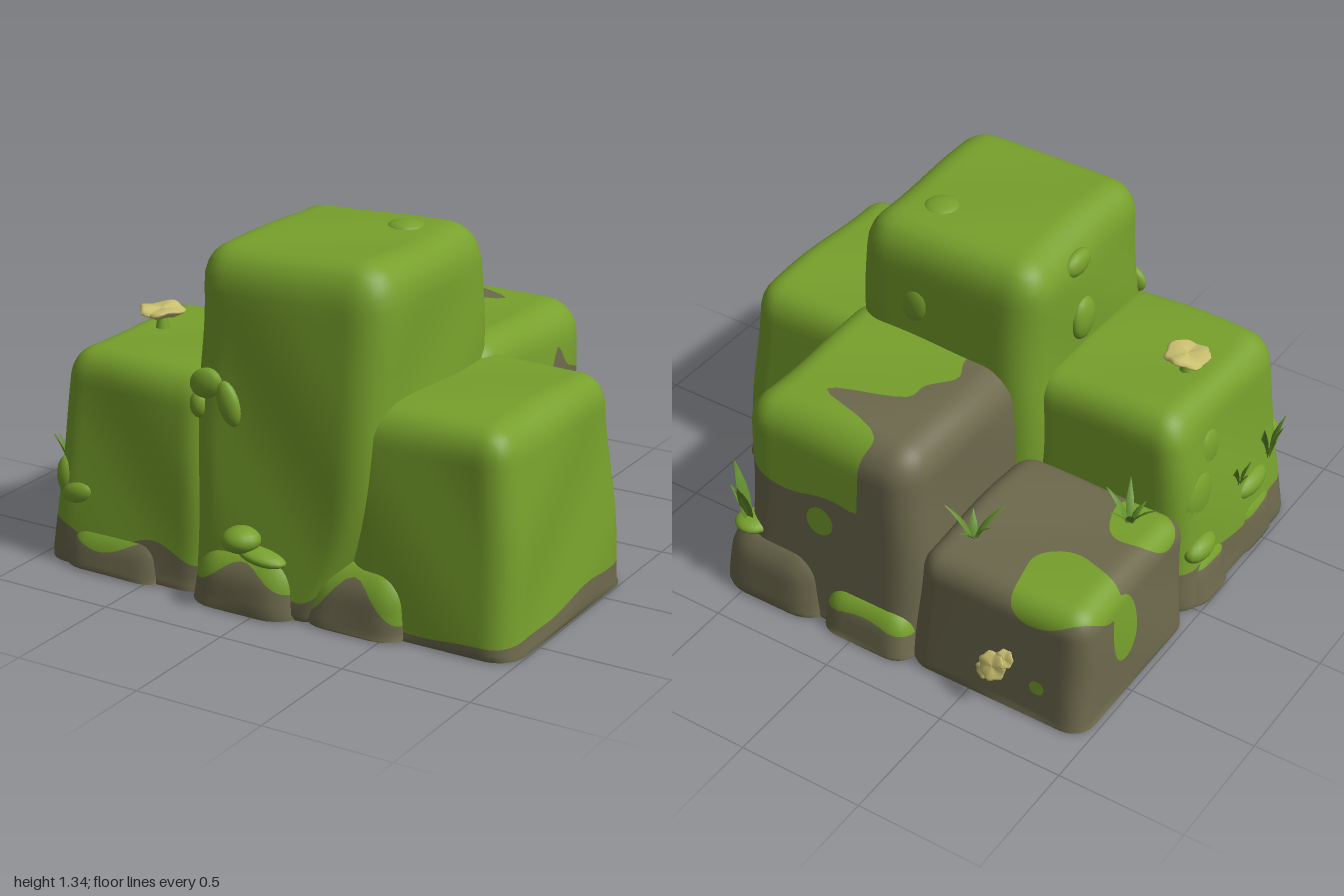
import * as THREE from 'three';
import { mergeVertices } from 'three/addons/utils/BufferGeometryUtils.js';

const { sin, cos, PI, hypot, max, min, exp } = Math;
const material = (name, color, side = THREE.FrontSide) => {
  const m = new THREE.MeshStandardMaterial({ color, side });
  m.name = name;
  return m;
};

const bump = (v, centre, width) => exp(-(((v - centre) / width) ** 2));

// Soft-edged elliptical patch: positive inside, negative outside
const patch = (p, x, y, z, rx, ry, rz) =>
  1 - hypot((p.x - x) / rx, (p.y - y) / ry, (p.z - z) / rz) + 0.12 * sin(p.x * 13 + p.z * 17 + p.y * 11);

// Moss covering everything above a wavy line
const above = (h, wave) => p => p.y - h - wave * (cos((p.x + 0.05) * 14.6) + 0.4 * sin(p.z * 13));

// Rounded, tapered boulder. x, z are the base ranges; taper gives the top inset on each side.
function boulderGeometry([x0, x1], [z0, z1], height, radius, [inL, inR, inB, inF], segs, undercut) {
  const w = x1 - x0, d = z1 - z0, h = height + radius;
  let g = new THREE.BoxGeometry(w, h, d, segs, segs, segs);
  g.deleteAttribute('uv');
  g.deleteAttribute('normal');
  g = mergeVertices(g, 1e-4);
  const pos = g.attributes.position, p = new THREE.Vector3(), q = new THREE.Vector3();
  const half = [w / 2 - radius, h / 2 - radius, d / 2 - radius];
  for (let i = 0; i < pos.count; i++) {
    p.fromBufferAttribute(pos, i);
    q.set(max(-half[0], min(half[0], p.x)), max(-half[1], min(half[1], p.y)), max(-half[2], min(half[2], p.z)));
    p.sub(q).setLength(radius).add(q);
    // base sits flat on the ground
    const y = max(0, p.y + h / 2 - radius), t = y / height;
    const u = p.x / w + 0.5, v = p.z / d + 0.5;
    let x = x0 + inL * t + u * (w - (inL + inR) * t);
    let z = z0 + inB * t + v * (d - (inB + inF) * t);
    // left flank pulled in towards the ground
    x -= undercut * u * u * max(0, 1 - y / 0.8) ** 2;
    // gentle weathering
    const k = y > 0 ? 0.006 : 0;
    x += k * sin(y * 9 + z * 7);
    z += k * sin(x * 8 + y * 6 + 1);
    pos.setXYZ(i, x, y + k * sin(x * 7 + z * 9), z);
  }
  g.computeVertexNormals();
  return g;
}

// Cut a smooth surface along field = 0: group 0 is the negative side, group 1 the positive side
function splitByField(g, field) {
  const P = g.attributes.position, N = g.attributes.normal, idx = g.index;
  const verts = Array.from({ length: P.count }, (_, i) => {
    const p = new THREE.Vector3().fromBufferAttribute(P, i);
    return { p, n: new THREE.Vector3().fromBufferAttribute(N, i), f: field(p) };
  });
  const out = new THREE.BufferGeometry(), position = [], normal = [];
  [-1, 1].forEach((sign, group) => {
    const start = position.length / 3;
    for (let i = 0; i < idx.count; i += 3) {
      const tri = [0, 1, 2].map(k => verts[idx.getX(i + k)]), poly = [];
      tri.forEach((a, k) => {
        const b = tri[(k + 1) % 3];
        if (a.f * sign >= 0) poly.push(a);
        if (a.f * b.f < 0) {
          const t = a.f / (a.f - b.f);
          poly.push({ p: a.p.clone().lerp(b.p, t), n: a.n.clone().lerp(b.n, t).normalize() });
        }
      });
      for (let k = 1; k + 1 < poly.length; k++)
        for (const v of [poly[0], poly[k], poly[k + 1]]) {
          position.push(...v.p);
          normal.push(...v.n);
        }
    }
    out.addGroup(start, position.length / 3 - start, group);
  });
  out.setAttribute('position', new THREE.Float32BufferAttribute(position, 3));
  out.setAttribute('normal', new THREE.Float32BufferAttribute(normal, 3));
  return out;
}

// Folded, pointed grass blade leaning towards +x
function bladeGeometry(len, lean, width) {
  const pos = [], index = [], n = 5;
  for (let i = 0; i <= n; i++) {
    const t = i / n, w = width * sin(PI * (0.2 + 0.8 * t)) + 0.001;
    const x = len * lean * t * (0.5 + 0.5 * t) + 0.005, y = len * t * (1 - 0.2 * lean * t);
    pos.push(x, y, -w, x - 0.006, y, 0, x, y, w);
    if (i < n) for (const k of [0, 1]) {
      const a = i * 3 + k;
      index.push(a, a + 1, a + 3, a + 1, a + 4, a + 3);
    }
  }
  const g = new THREE.BufferGeometry();
  g.setAttribute('position', new THREE.Float32BufferAttribute(pos, 3));
  g.setIndex(index);
  g.computeVertexNormals();
  return g;
}

// Wavy mushroom cap
function capGeometry(r) {
  const profile = [[0.001, -0.1], [0.5, -0.02], [0.95, 0.22], [1, 0.32], [0.85, 0.42], [0.4, 0.4], [0.001, 0.38]];
  const g = new THREE.LatheGeometry(profile.map(([x, y]) => new THREE.Vector2(x * r, y * r)), 28);
  const pos = g.attributes.position;
  for (let i = 0; i < pos.count; i++) {
    const x = pos.getX(i), z = pos.getZ(i), a = Math.atan2(z, x), e = hypot(x, z) / r;
    const s = 1 + 0.06 * e * sin(7 * a);
    pos.setXYZ(i, x * s, pos.getY(i) + 0.1 * r * e * sin(3 * a), z * s);
  }
  g.computeVertexNormals();
  return g;
}

export function createModel() {
  const root = new THREE.Group();
  root.name = 'mossyRocks';
  const stone = material('stone', 0x6d694d);
  const moss = material('moss', 0x77a02c);
  const grass = material('grass', 0x618d2b, THREE.DoubleSide);
  const fungus = material('mushroom', 0xccc271);

  const add = (name, geometry, mat, parent = root) => {
    const m = new THREE.Mesh(geometry, mat);
    m.name = name;
    parent.add(m);
    return m;
  };
  const boulder = (name, x, z, h, r, taper, field, segs = 28, undercut = 0) =>
    add(name, splitByField(boulderGeometry(x, z, h, r, taper, segs, undercut), field), [stone, moss]);

  // Main boulders
  boulder('frontRightBoulder', [-0.98, -0.24], [-0.07, 0.75], 0.83, 0.11, [0.1, 0, 0.03, 0.05], above(0.13, 0.035));
  boulder('tallBoulder', [-0.34, 0.49], [-0.15, 0.76], 1.31, 0.14, [0.03, 0.03, 0.03, 0.07], above(0.14, 0.06), 28, 0.25);
  boulder('frontLeftBoulder', [0.3, 1.0], [-0.21, 0.71], 0.82, 0.11, [0, 0.06, 0.06, 0.04],
    p => p.y - 0.1 + 0.06 * max(0, p.z - 0.1) / 0.6 - 0.008 * sin(p.z * 14 + p.x * 12));
  boulder('backBoulder', [-0.27, 0.55], [-0.81, 0.05], 0.87, 0.13, [0.04, 0.03, 0.05, 0], p => max(
    min(p.y - 0.62 - 0.09 * bump(p.z, -0.53, 0.04) + 0.07 * bump(p.z, -0.78, 0.12) - 0.02 * sin(p.x * 14),
      p.x + 0.02 - 0.28 * bump(p.z, -0.56, 0.08) + 0.05 * bump(p.z, -0.2, 0.12) - 0.02 * sin(p.z * 30)),
    0.1 * patch(p, 0.54, 0.32, -0.25, 0.1, 0.035, 0.08),
    0.1 * patch(p, 0.16, 0.45, -0.8, 0.06, 0.06, 0.1)), 34);
  boulder('lowBoulder', [-0.98, -0.23], [-0.82, -0.06], 0.51, 0.09, [0.02, 0.02, 0.03, 0.01], p => max(
    patch(p, -0.8, 0.5, -0.65, 0.19, 0.2, 0.17),
    patch(p, -0.84, 0.5, -0.2, 0.13, 0.1, 0.12),
    patch(p, -0.97, 0.3, -0.53, 0.1, 0.15, 0.08),
    patch(p, -0.78, 0.14, -0.82, 0.03, 0.03, 0.1)), 34);

  // Small rocks around the foot: [x range, z range, height, radius, moss line, moss wave]
  [
    [[-0.3, 0.17], [0.5, 0.82], 0.23, 0.13, 0.15, 0.05], [[0.15, 0.6], [0.45, 0.77], 0.25, 0.13, 0.12, 0.08],
    [[-0.88, -0.42], [0.5, 0.78], 0.18, 0.1, 0.12, 0.03], [[-1.0, -0.7], [-0.03, 0.28], 0.22, 0.11, 0.13, 0.015],
    [[-0.99, -0.7], [0.3, 0.65], 0.26, 0.12, 0.15, 0.015], [[-0.25, 0.15], [-0.86, -0.5], 0.19, 0.09, 0.1, 0.015],
    [[0.13, 0.62], [-0.86, -0.17], 0.29, 0.14, 0.5, 0], [[0.6, 0.86], [-0.24, 0.1], 0.16, 0.09, 0.5, 0],
  ].forEach(([x, z, h, r, line, wave]) =>
    boulder('footRock', x, z, h, r, [0.03, 0.03, 0.03, 0.03], above(line, wave), 14));

  // Moss clumps: [x, y, z, rx, ry, rz, tilt]
  [
    [-0.24, 0.81, 0.71, 0.07, 0.055, 0.03, 0.4], [-0.14, 0.75, 0.715, 0.045, 0.085, 0.03, 0.3],
    [-0.28, 0.72, 0.7, 0.035, 0.05, 0.03, 0], [-0.06, 0.27, 0.77, 0.075, 0.05, 0.07, 0.1],
    [0.02, 0.22, 0.76, 0.1, 0.03, 0.06, -0.15],
    [-0.82, 0.28, 0.72, 0.075, 0.045, 0.035, 0.3], [-0.88, 0.33, 0.7, 0.045, 0.08, 0.04, 0],
    [-0.3, 1.2, 0.2, 0.035, 0.05, 0.08, 0], [-0.32, 0.95, 0.22, 0.035, 0.09, 0.07, 0],
    [0.22, 1.305, 0.1, 0.07, 0.025, 0.07, 0], [0.2, 1.0, -0.11, 0.06, 0.08, 0.025, 0.2],
    [-0.9, 0.45, 0.09, 0.04, 0.12, 0.1, 0], [-0.88, 0.6, 0.18, 0.035, 0.1, 0.08, 0],
    [-0.94, 0.24, 0.07, 0.05, 0.05, 0.09, 0], [-0.93, 0.28, 0.46, 0.05, 0.05, 0.11, 0],
    [0.49, 0.29, -0.77, 0.07, 0.03, 0.07, 0],
    [0.87, 0.06, 0.67, 0.05, 0.025, 0.04, 0],
  ].forEach(([x, y, z, rx, ry, rz, tilt]) => {
    const m = add('mossClump', new THREE.SphereGeometry(1, 16, 12), moss);
    m.position.set(x, y, z);
    m.scale.set(rx, ry, rz);
    m.rotation.z = tilt;
  });

  // Grass tufts: [x, y, z, blade length, lean, half width, blade count, first angle, angular spread]
  [
    [-0.38, 0.49, -0.6, 0.16, 0.65, 0.014, 5, 0.3, 2 * PI], [-0.8, 0.49, -0.22, 0.15, 0.65, 0.014, 6, 0, 2 * PI],
    [-0.92, 0.26, 0.6, 0.24, 0.3, 0.017, 4, PI - 1.2, 3], [-0.92, 0.28, 0.36, 0.19, 0.35, 0.016, 3, PI - 1, 2.6],
    [0.5, 0.29, -0.78, 0.26, 0.28, 0.024, 4, -0.3, 2.8],
  ].forEach(([x, y, z, len, lean, width, count, first, spread]) => {
    const tuft = new THREE.Group();
    tuft.name = 'grassTuft';
    tuft.position.set(x, y, z);
    for (let i = 0; i < count; i++) {
      const geometry = bladeGeometry(len * (0.82 + 0.18 * cos(i * 2.4)), lean * (1 + 0.2 * (i % 2)), width);
      add('blade', geometry, grass, tuft).rotation.y = first + (spread * i) / count;
    }
    root.add(tuft);
  });

  // Mushrooms: [x, y, z, cap radius, stem length, tilt towards the back]
  [
    [-0.72, 0.81, 0.3, 0.085, 0.06, 0], [-0.62, 0.18, -0.81, 0.055, 0.02, -1.2],
    [-0.58, 0.14, -0.81, 0.035, 0.015, -1.3], [-0.66, 0.22, -0.805, 0.035, 0.015, -1.0],
  ].forEach(([x, y, z, r, stem, tilt]) => {
    const group = new THREE.Group();
    group.name = 'mushroom';
    group.position.set(x, y, z);
    group.rotation.x = tilt;
    add('stem', new THREE.CylinderGeometry(r * 0.2, r * 0.35, stem, 10), moss, group).position.y = stem / 2;
    add('cap', capGeometry(r), fungus, group).position.y = stem;
    root.add(group);
  });

  return root;
}
